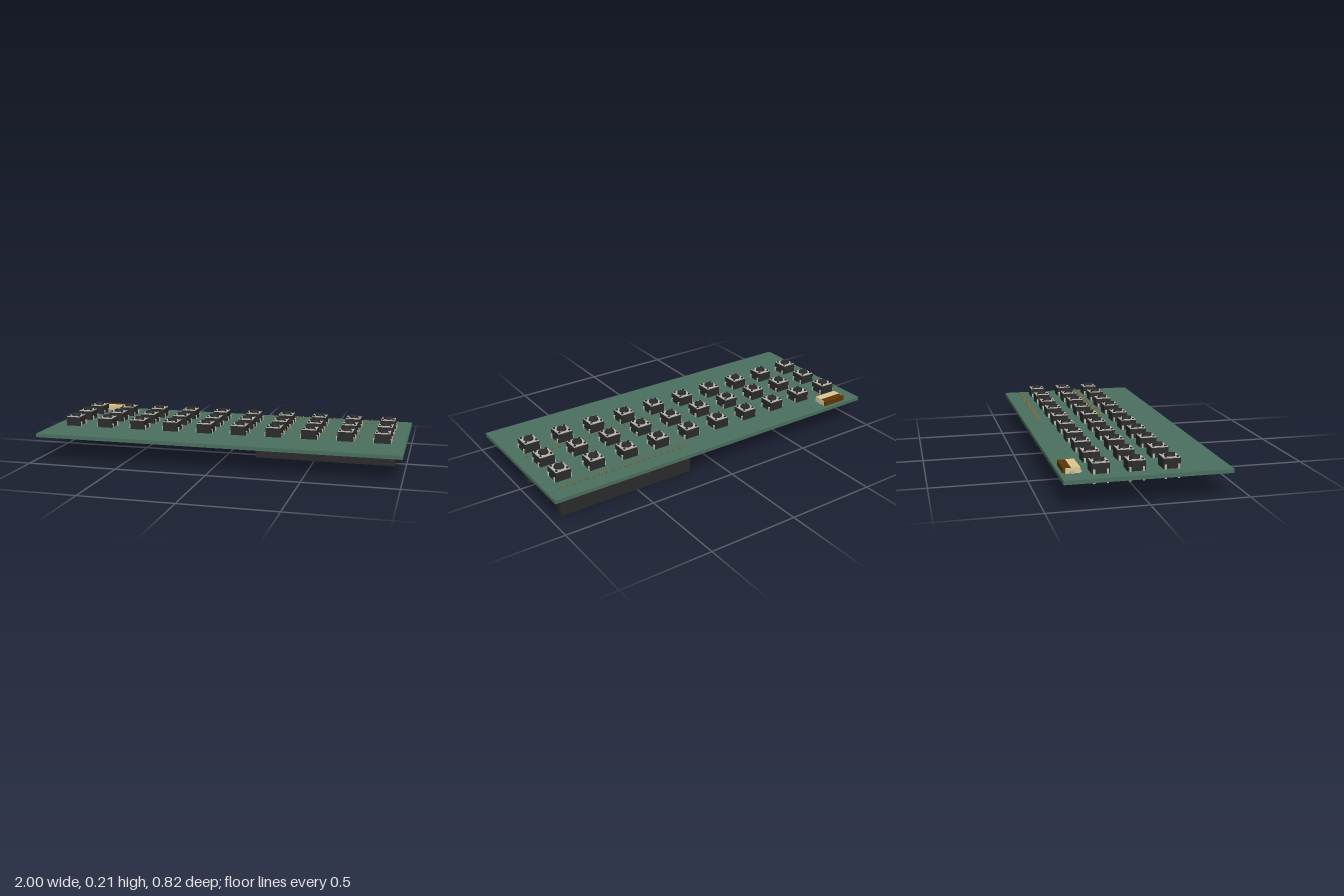
import * as THREE from 'three';

const mat = (color) => new THREE.MeshStandardMaterial({ color });
const green = mat(0x4a705f), black = mat(0x2b2b2b), metal = mat(0xb8b4ae);
const gold = mat(0x8a7340), cream = mat(0xdcc890), brown = mat(0x5e3608);

function add(parent, name, geometry, material, x = 0, y = 0, z = 0) {
  const mesh = new THREE.Mesh(geometry, material);
  mesh.name = name;
  mesh.position.set(x, y, z);
  parent.add(mesh);
  return mesh;
}
const box = (w, h, d) => new THREE.BoxGeometry(w, h, d);

const BOARD_BOTTOM = 0.127, BOARD_TOP = 0.147;
const HEADER_ROWS = [0.044, -0.326];
const PINS = 21, PITCH = 0.0369, HEADER_X = 0.555;
const pinX = (i) => HEADER_X + (i - (PINS - 1) / 2) * PITCH;

// Board with a row of drilled holes for each header
function makeBoard() {
  const shape = new THREE.Shape();
  shape.moveTo(-1, -0.412).lineTo(1, -0.412).lineTo(1, 0.412).lineTo(-1, 0.412).closePath();
  for (const z of HEADER_ROWS) {
    for (let i = 0; i < PINS; i++) {
      shape.holes.push(new THREE.Path().absarc(pinX(i), -z, 0.009, 0, Math.PI * 2, true));
    }
  }
  const geometry = new THREE.ExtrudeGeometry(shape, {
    depth: BOARD_TOP - BOARD_BOTTOM, bevelEnabled: false, curveSegments: 8,
  });
  return geometry.rotateX(-Math.PI / 2);
}

// Push button: body, metal cover, corner studs, round cap and four bent legs
const bodyGeo = box(0.084, 0.05, 0.087);
const coverGeo = box(0.079, 0.004, 0.083);
const studGeo = new THREE.CylinderGeometry(0.006, 0.006, 0.006, 12);
const capGeo = new THREE.CylinderGeometry(0.025, 0.027, 0.012, 24);
const legGeo = box(0.004, 0.07, 0.01);
const legTopGeo = box(0.008, 0.004, 0.01);

function makeButton() {
  const button = new THREE.Group();
  button.name = 'pushButton';
  add(button, 'buttonBody', bodyGeo, black, 0, 0.172, 0);
  add(button, 'buttonCover', coverGeo, metal, 0, 0.199, 0);
  add(button, 'buttonCap', capGeo, black, 0, 0.205, 0);
  for (const sx of [-1, 1]) {
    for (const sz of [-1, 1]) {
      add(button, 'cornerStud', studGeo, black, sx * 0.03, 0.203, sz * 0.03);
      add(button, 'leg', legGeo, metal, sx * 0.047, 0.135, sz * 0.033);
      add(button, 'legBend', legTopGeo, metal, sx * 0.044, 0.168, sz * 0.033);
    }
  }
  return button;
}

// Socket strip hanging under the board, its pins rising through the holes
const pinGeo = box(0.005, 0.052, 0.005);
function makeHeader() {
  const header = new THREE.Group();
  header.name = 'pinHeader';
  add(header, 'headerBody', box(0.776, 0.122, 0.036), black, HEADER_X, 0.061, 0);
  for (const sx of [-1, 1]) {
    add(header, 'headerSpacer', box(0.02, 0.005, 0.03), black, HEADER_X + sx * 0.375, 0.1245, 0);
  }
  for (let i = 0; i < PINS; i++) add(header, 'headerPin', pinGeo, gold, pinX(i), 0.143, 0);
  return header;
}

// Flat cable connector with a brown flip latch at the back
function makeConnector() {
  const connector = new THREE.Group();
  connector.name = 'cableConnector';
  add(connector, 'connectorBase', box(0.14, 0.012, 0.066), cream, 0, 0.154, -0.35);
  add(connector, 'connectorBody', box(0.144, 0.029, 0.044), cream, 0, 0.1625, -0.334);
  for (const sx of [-1, 1]) {
    add(connector, 'connectorArm', box(0.006, 0.026, 0.03), cream, sx * 0.07, 0.161, -0.368);
    add(connector, 'solderTab', box(0.008, 0.013, 0.018), metal, sx * 0.073, 0.1535, -0.349);
  }
  add(connector, 'connectorLatch', box(0.132, 0.016, 0.028), brown, 0, 0.169, -0.37);
  add(connector, 'latchEdge', box(0.142, 0.027, 0.013), brown, 0, 0.1635, -0.389);
  for (let i = 0; i < 10; i++) {
    add(connector, 'contact', box(0.004, 0.005, 0.014), metal, (i - 4.5) * 0.012, 0.1495, -0.307);
  }
  return connector;
}

export function createModel() {
  const model = new THREE.Group();
  model.name = 'buttonBoard';
  add(model, 'board', makeBoard(), green, 0, BOARD_BOTTOM, 0);

  // Three rows of ten buttons
  for (const z of [0.126, -0.047, -0.221]) {
    for (let i = 0; i < 10; i++) {
      const button = makeButton();
      button.position.set(-0.885 + i * 0.1957, 0, z);
      model.add(button);
    }
  }
  for (const z of HEADER_ROWS) {
    const header = makeHeader();
    header.position.z = z;
    model.add(header);
  }
  const connector = makeConnector();
  connector.position.x = -0.824;
  model.add(connector);
  return model;
}
